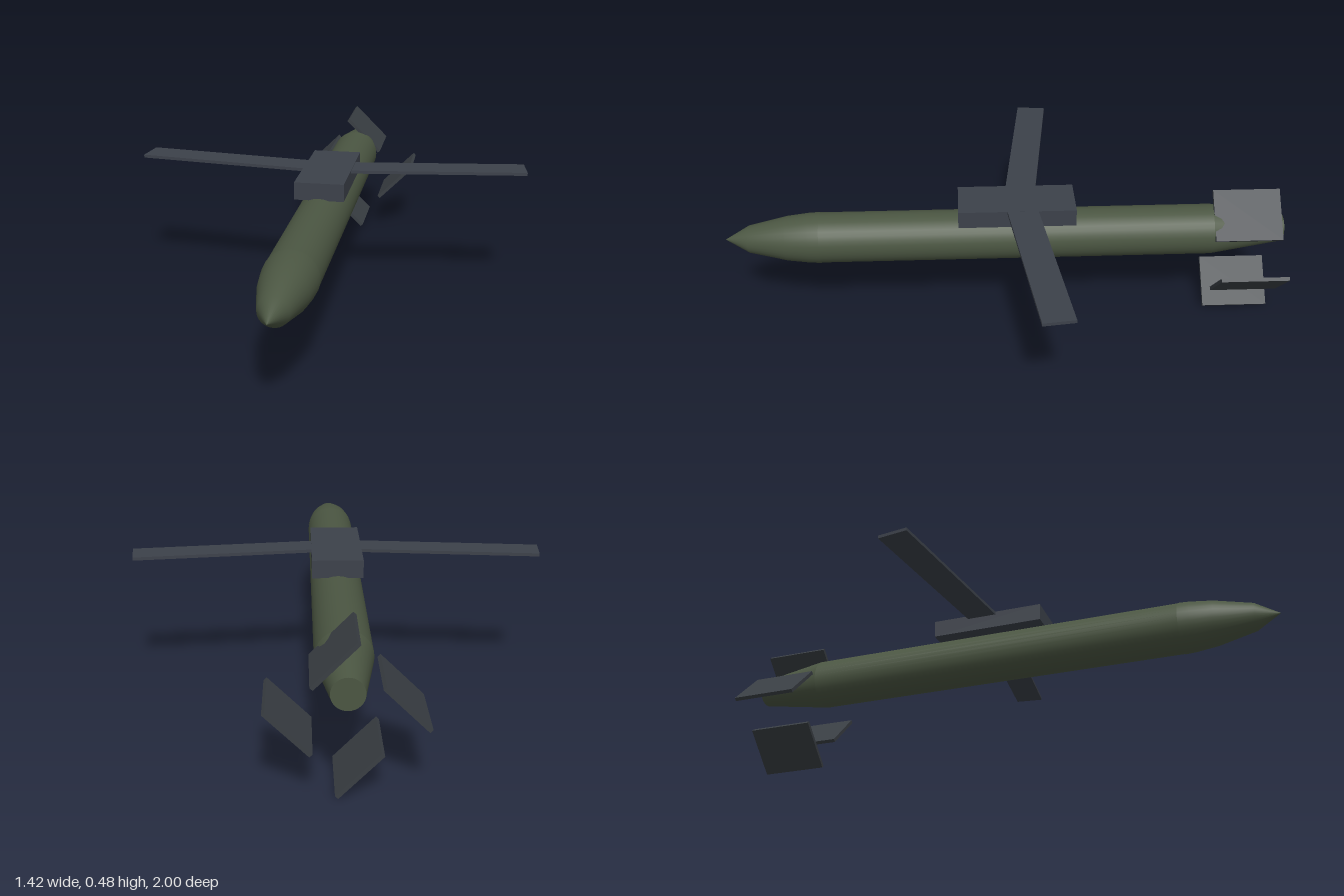
import * as THREE from 'three';

const AXIS_Y = 0.338; // height of the body's long axis

export function createModel() {
  const green = new THREE.MeshStandardMaterial({ color: 0x4b5642 });
  green.name = 'olive green';
  const wingGrey = new THREE.MeshStandardMaterial({ color: 0x3c414a });
  wingGrey.name = 'wing grey';
  const finGrey = new THREE.MeshStandardMaterial({ color: 0x393e43 });
  finGrey.name = 'fin grey';

  const model = new THREE.Group();
  const add = (name, geometry, material, x, y, z) => {
    const mesh = new THREE.Mesh(geometry, material);
    mesh.name = name;
    mesh.position.set(x, y, z);
    model.add(mesh);
    return mesh;
  };

  // Round sections along z, given as [radius, z] from back to front
  const turned = (name, profile) => {
    const points = profile.map(([r, z]) => new THREE.Vector2(r, z));
    const geometry = new THREE.LatheGeometry(points, 32).rotateX(Math.PI / 2);
    return add(name, geometry, green, 0, AXIS_Y, 0);
  };
  turned('body', [[0.09, -0.74], [0.09, 0.67]]);
  turned('nose', [[0.0915, 0.66], [0.0895, 0.7], [0.08, 0.78], [0.049, 0.915], [0, 1]]);
  turned('tailCone', [[0.05, -1], [0.09, -0.74]]);
  const cap = add('tailCap', new THREE.CircleGeometry(0.05, 32), green, 0, AXIS_Y, -1);
  cap.rotation.y = Math.PI;

  // Wing mount on top of the body
  add('wingMount', new THREE.BoxGeometry(0.174, 0.062, 0.412), wingGrey, 0, 0.452, -0.038);

  // Slightly swept wings, meeting inside the mount
  const sweep = 0.121;
  const span = 0.707;
  for (const side of [1, -1]) {
    const wing = add(side > 0 ? 'leftWing' : 'rightWing',
      new THREE.BoxGeometry(span, 0.011, 0.107), wingGrey,
      side * 0.5 * span * Math.cos(sweep), 0.477, -0.047 - 0.5 * span * Math.sin(sweep));
    wing.rotation.y = side * sweep;
  }

  // Four diagonal tail fins set around a point below the body axis
  const finCentreY = 0.244;
  const finGeometry = new THREE.BoxGeometry(0.187, 0.013, 0.24);
  const fins = [
    ['upperFin', 0.035, 0.169, -1],
    ['lowerFin', -0.035, -0.169, -1],
    ['rightFin', -0.169, 0.035, 1],
    ['leftFin', 0.169, -0.035, 1],
  ];
  for (const [name, x, y, tilt] of fins) {
    const fin = add(name, finGeometry, finGrey, x, finCentreY + y, -0.863);
    fin.rotation.z = tilt * Math.PI / 4;
  }

  return model;
}
